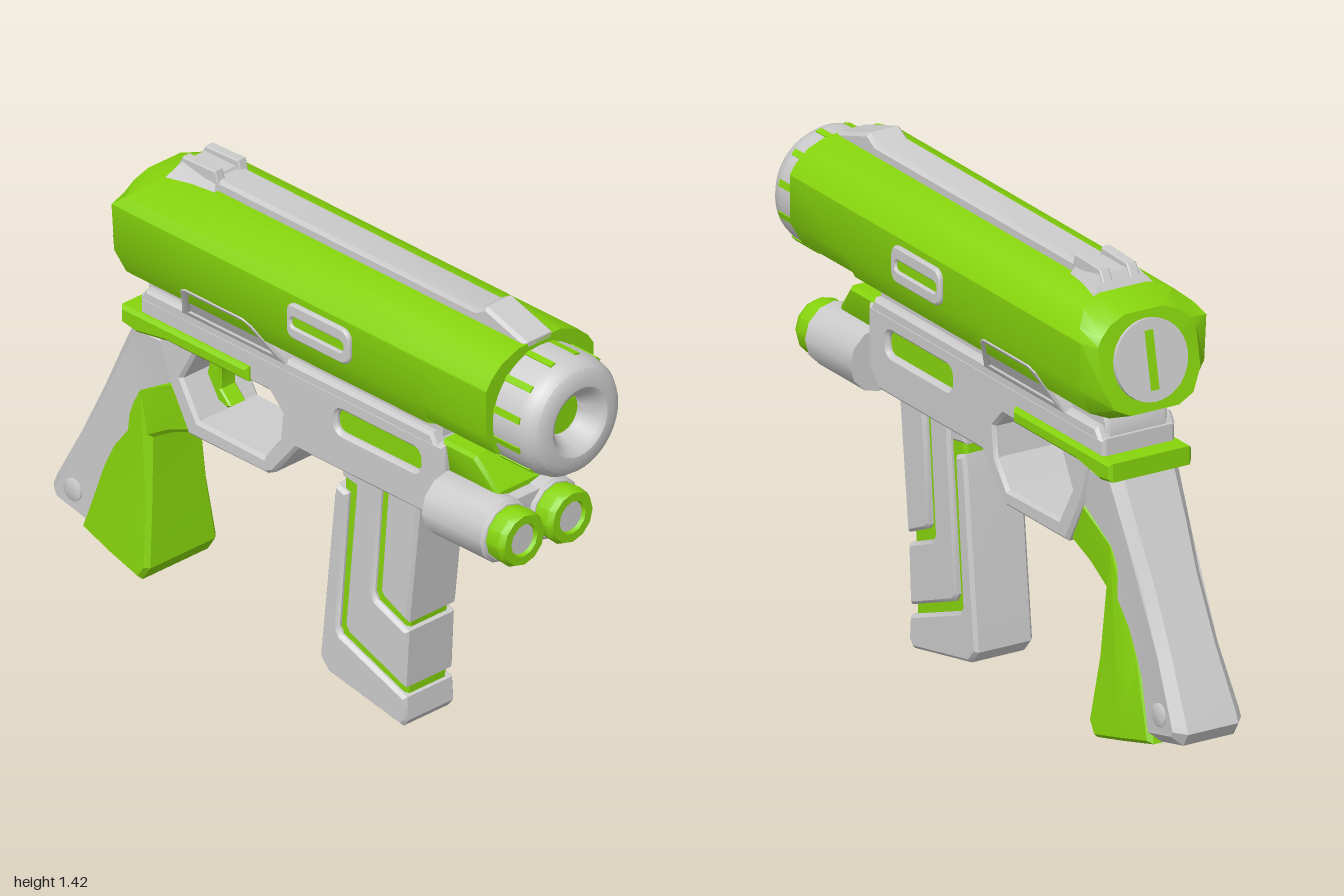
import * as THREE from 'three';
import { toCreasedNormals } from 'three/addons/utils/BufferGeometryUtils.js';

const grey = new THREE.MeshStandardMaterial({ color: 0xcccccc });
const green = new THREE.MeshStandardMaterial({ color: 0x86d40c });
const { lerp, clamp, smoothstep } = THREE.MathUtils;
const v2 = (pts) => pts.map(([a, b]) => new THREE.Vector2(a, b));

export function createModel() {
  const model = new THREE.Group();

  const add = (name, geo, mat, x = 0, y = 0, z = 0) => {
    const mesh = new THREE.Mesh(toCreasedNormals(geo, 0.55), mat);
    mesh.name = name;
    mesh.position.set(x, y, z);
    model.add(mesh);
    return mesh;
  };

  // Side profile of [z, y] points, extruded across x; warp(x, y, z) returns a new x
  const plate = (pts, half, { bevel = 0.01, holes = [], warp } = {}) => {
    const shape = new THREE.Shape(v2(pts));
    holes.forEach((h) => shape.holes.push(new THREE.Path(v2(h))));
    const geo = new THREE.ExtrudeGeometry(shape, {
      depth: 2 * (half - bevel), bevelEnabled: bevel > 0, bevelThickness: bevel,
      bevelSize: bevel, bevelOffset: -bevel, bevelSegments: 1,
    });
    geo.translate(0, 0, bevel - half).rotateY(-Math.PI / 2);
    if (warp) {
      const p = geo.attributes.position;
      for (let i = 0; i < p.count; i++) p.setX(i, warp(p.getX(i), p.getY(i), p.getZ(i)));
    }
    return geo;
  };

  // Rounded slot outline in [z, y]
  const slot = (z0, z1, y0, y1, r) => {
    const pts = [];
    [[z1, y1, 0], [z0, y1, 1], [z0, y0, 2], [z1, y0, 3]].forEach(([z, y, q]) => {
      const cz = z === z1 ? z - r : z + r, cy = y === y1 ? y - r : y + r;
      for (let i = 0; i <= 4; i++) {
        const a = (q + i / 4) * Math.PI / 2;
        pts.push([cz + r * Math.cos(a), cy + r * Math.sin(a)]);
      }
    });
    return pts;
  };

  // Profile of [radius, z] points turned about the z axis
  const turned = (pts, seg = 32) => new THREE.LatheGeometry(v2(pts), seg).rotateX(Math.PI / 2);

  // Barrel shell: cross-section lofted from front to a slanted rear
  const half = [[0.1, 1.03], [0.165, 1.06], [0.205, 1.14], [0.205, 1.28], [0.185, 1.31], [0.145, 1.345], [0.08, 1.37]];
  const section = [...half, ...half.map(([x, y]) => [-x, y]).reverse()];
  const rearZ = (y) => (y > 1.28 ? lerp(-0.64, -0.53, (y - 1.28) / 0.09) : lerp(-0.62, -0.64, (y - 1.03) / 0.25));
  const rings = [
    section.map(([x, y]) => [x, Math.max(y, 1.07), 0.84]),
    section.map(([x, y]) => [x, Math.max(y, 1.07), 0.57]),
    section.map(([x, y]) => [x, y, 0.57]),
    section.map(([x, y]) => [x, y, rearZ(y)]),
    section.map(([x, y]) => {
      const ry = 1.19 + (y - 1.19) * 0.82;
      return [x * 0.78, ry, -0.65 - (1.3 - ry) * 0.2];
    }),
  ];
  const n = section.length, idx = [];
  const pos = [...rings.flat(2), 0, 1.2, 0.84, 0, 1.2, -0.67];
  const front = rings.length * n, rear = front + 1, last = (rings.length - 1) * n;
  for (let j = 0; j < n; j++) {
    const k = (j + 1) % n;
    for (let i = 0; i < rings.length - 1; i++) {
      const a = i * n + j, b = i * n + k;
      idx.push(a, a + n, b, b, a + n, b + n);
    }
    idx.push(front, j, k, rear, last + k, last + j);
  }
  const shell = new THREE.BufferGeometry();
  shell.setAttribute('position', new THREE.Float32BufferAttribute(pos, 3));
  shell.setIndex(idx);
  shell.computeVertexNormals();
  add('barrelShell', shell, green);

  // Rear cap with slot
  const cap = add('rearCap', turned([[0, -0.012], [0.118, -0.012], [0.118, 0.03], [0, 0.03]]), grey, 0, 1.2, -0.67);
  const capSlot = add('rearCapSlot', new THREE.BoxGeometry(0.026, 0.17, 0.03), green, 0, 1.2, -0.67);
  cap.rotation.x = capSlot.rotation.x = 0.197;

  // Muzzle with slots around it
  add('muzzle', turned([[0, 0.57], [0.178, 0.57], [0.18, 0.93], [0.173, 0.965], [0.157, 0.988], [0.13, 1],
    [0.105, 1], [0.087, 0.988], [0.062, 0.94], [0.062, 0.92], [0, 0.92]], 40), grey, 0, 1.17);
  add('muzzleCore', new THREE.CircleGeometry(0.062, 24), green, 0, 1.17, 0.925);
  for (let i = 0; i < 12; i++) {
    const a = (i + 0.5) * Math.PI / 6;
    const rib = add('muzzleSlot', new THREE.BoxGeometry(0.012, 0.02, 0.12), green,
      0.1765 * Math.cos(a), 1.17 + 0.1765 * Math.sin(a), 0.88);
    rib.rotation.z = a;
  }

  // Top rail and rear sight
  add('topRail', plate([[0.84, 1.36], [0.84, 1.375], [0.68, 1.425], [0.64, 1.402], [-0.5, 1.402], [-0.53, 1.36]], 0.055), grey);
  add('rearSight', plate([[-0.37, 1.36], [-0.39, 1.41], [-0.51, 1.41], [-0.54, 1.36]], 0.1, {
    bevel: 0, warp: (x, y, z) => x * lerp(1, 0.6, (y - 1.36) / 0.05) * (z > -0.45 ? 0.75 : 1),
  }), grey);
  for (const s of [-1, 1]) {
    add('sightFin', plate([[-0.37, 1.39], [-0.38, 1.43], [-0.51, 1.425], [-0.53, 1.39]], 0.016, { bevel: 0.004 }), grey, s * 0.044);
    // Side ports on the shell
    add('sidePort', plate(slot(0.06, 0.31, 1.15, 1.26, 0.03), 0.02, { holes: [slot(0.08, 0.285, 1.188, 1.218, 0.012)], bevel: 0.006 }), grey, s * 0.198);
    add('sidePortSlot', plate(slot(0.07, 0.295, 1.18, 1.225, 0.015), 0.01, { bevel: 0 }), green, s * 0.2);
    // Grip pins
    add('gripPin', turned([[0, -0.01], [0.034, -0.01], [0.034, 0.008], [0.026, 0.012], [0, 0.012]], 20).rotateY(s * Math.PI / 2),
      grey, s * 0.105, 0.245, -0.89);
  }

  // Receiver with trigger opening and side slots
  add('receiver', plate([[0.58, 0.97], [0.58, 0.79], [0.53, 0.73], [0, 0.73], [-0.09, 0.62], [-0.12, 0.605],
    [-0.43, 0.605], [-0.51, 0.75], [-0.55, 0.87], [-0.62, 0.9], [-0.62, 0.97]], 0.118, {
    holes: [
      [[-0.11, 0.87], [-0.4, 0.87], [-0.455, 0.77], [-0.39, 0.66], [-0.13, 0.655], [-0.07, 0.73], [-0.06, 0.82]],
      slot(0.155, 0.485, 0.85, 0.92, 0.025),
    ],
  }), grey);
  add('receiverSlot', new THREE.BoxGeometry(0.2, 0.09, 0.35), green, 0, 0.885, 0.32);
  add('receiverDeck', plate([[0.55, 0.96], [0.55, 1.06], [-0.58, 1.06], [-0.61, 1.01], [-0.61, 0.96]], 0.1), grey);
  add('deckStep', plate([[0.56, 0.96], [0.54, 1], [-0.59, 1], [-0.615, 0.96]], 0.125), grey);

  // Raised hump with inset panel, leaning outward to meet the shell
  const lean = (x, y) => x * lerp(0.135, 0.2, clamp((y - 1) / 0.12, 0, 1)) / 0.2;
  add('hump', plate([[-0.03, 0.99], [-0.04, 1.02], [-0.1, 1.11], [-0.13, 1.128], [-0.36, 1.128], [-0.39, 1.11], [-0.43, 1.02], [-0.44, 0.99]], 0.2, {
    holes: [[[-0.08, 1.015], [-0.13, 1.1], [-0.35, 1.1], [-0.395, 1.015]]], warp: lean }), grey);
  add('humpPanel', plate([[-0.06, 1.005], [-0.12, 1.11], [-0.36, 1.11], [-0.41, 1.005]], 0.192, { bevel: 0, warp: lean }), grey);

  // Green band above the grip
  add('gripBand', plate([[-0.18, 0.875], [-0.18, 0.92], [-0.68, 0.92], [-0.68, 0.865], [-0.62, 0.855], [-0.5, 0.875]], 0.135), green);

  // Trigger
  add('trigger', plate([[-0.35, 0.89], [-0.39, 0.8], [-0.39, 0.73], [-0.35, 0.69], [-0.365, 0.68], [-0.4, 0.69],
    [-0.445, 0.76], [-0.43, 0.82], [-0.41, 0.89]], 0.03, { bevel: 0.005 }), green);

  // Rear grip: waisted grey body with a green front that flares at the foot
  const waist = (y) => 1 - 0.15 * smoothstep(y, 0.2, 0.5) * (1 - smoothstep(y, 0.55, 0.85));
  add('grip', plate([[-0.46, 0.88], [-0.47, 0.77], [-0.44, 0.68], [-0.42, 0.61], [-0.52, 0.57], [-0.6, 0.52], [-0.59, 0.32],
    [-0.58, 0.14], [-0.61, 0.095], [-0.97, 0.175], [-0.995, 0.215], [-0.98, 0.25], [-0.89, 0.42], [-0.8, 0.6], [-0.73, 0.74], [-0.66, 0.88]],
  0.112, { bevel: 0.03, warp: (x, y) => x * waist(y) }), grey);
  add('gripPanel', plate([[-0.5, 0.745], [-0.455, 0.67], [-0.415, 0.61], [-0.52, 0.565], [-0.595, 0.52], [-0.585, 0.32], [-0.57, 0.13],
    [-0.6, 0.085], [-0.72, 0.113], [-0.855, 0.145], [-0.78, 0.37], [-0.7, 0.56], [-0.64, 0.665]], 0.116, {
    bevel: 0.012,
    warp: (x, y, z) => x * (waist(y) + 0.2 * (1 - smoothstep(y, 0.09, 0.4)) * clamp((z + 0.86) / 0.2, 0, 1)),
  }), green);

  // Front grip: green core showing between grey panels
  add('frontGripCore', plate([[0.445, 0.74], [0.4, 0.3], [0.395, 0.06], [0.12, 0.08], [0.145, 0.67], [0.15, 0.74]], 0.078), green);
  add('frontGripCollar', plate([[0.21, 0.74], [0.205, 0.68], [0.14, 0.69], [0.14, 0.74]], 0.085), grey);
  add('frontGripUpper', plate([[0.46, 0.74], [0.415, 0.34], [0.32, 0.382], [0.305, 0.4], [0.333, 0.74]], 0.095), grey);
  add('frontGripMiddle', plate([[0.307, 0.74], [0.278, 0.385], [0.29, 0.36], [0.413, 0.31], [0.402, 0.13],
    [0.18, 0.215], [0.165, 0.24], [0.205, 0.66], [0.21, 0.74]], 0.095), grey);
  add('frontGripLower', plate([[0.175, 0.65], [0.138, 0.215], [0.15, 0.195], [0.405, 0.1], [0.41, 0.03], [0.39, 0.005], [0.1, 0.06],
    [0.065, 0.1], [0.12, 0.62], [0.13, 0.665]], 0.095), grey);

  // Twin lamps under the muzzle
  add('lampMount', plate([[0.77, 0.86], [0.77, 0.89], [0.69, 0.98], [0.56, 0.98], [0.56, 0.86]], 0.105, {
    warp: (x, y) => x * (y < 0.9 ? 0.85 : 1) }), green);
  add('lampBridge', new THREE.BoxGeometry(0.18, 0.13, 0.22), grey, -0.0125, 0.81, 0.7);
  for (const x of [-0.105, 0.08]) {
    add('lampHousing', turned([[0, 0.58], [0.095, 0.58], [0.095, 0.81], [0.085, 0.82], [0, 0.82]], 12), grey, x, 0.795);
    add('lampRing', turned([[0.08, 0.8], [0.085, 0.87], [0.076, 0.888], [0.05, 0.888], [0.045, 0.872], [0, 0.872]], 12), green, x, 0.795);
    add('lampLens', new THREE.CircleGeometry(0.046, 20), grey, x, 0.795, 0.876);
  }
  return model;
}
